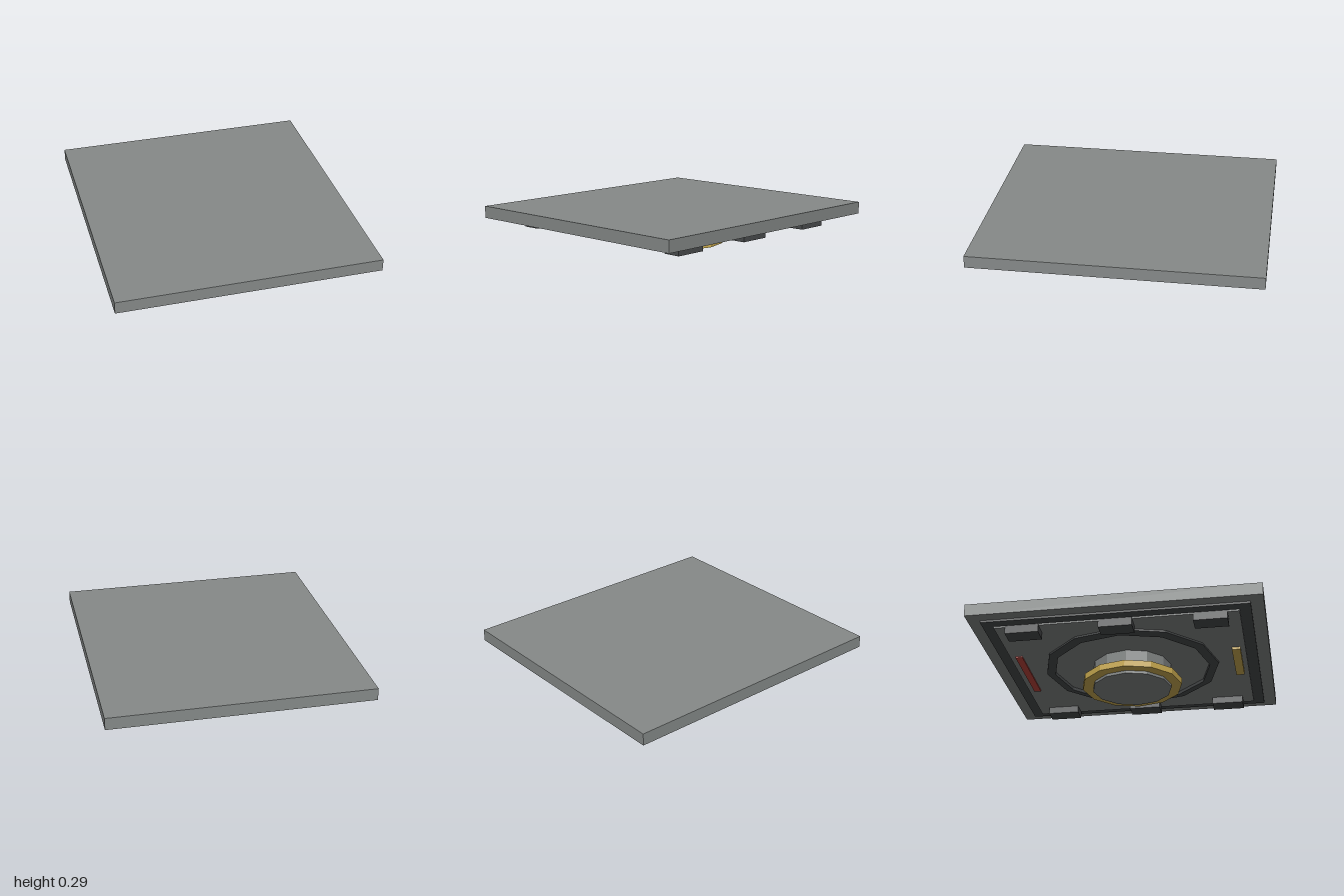
import * as THREE from 'three';

export function createModel() {
  const model = new THREE.Group();
  const paint = (name, color) => {
    const m = new THREE.MeshStandardMaterial({ color });
    m.name = name;
    m.flatShading = true;
    return m;
  };
  const gray = paint('plate gray', 0x868a89);
  const dark = paint('dark gray', 0x4a4d4e);
  const gold = paint('brass', 0xd2b254);
  const red = paint('red', 0xc5483f);

  const add = (name, geometry, material) => {
    const mesh = new THREE.Mesh(geometry, material);
    mesh.name = name;
    model.add(mesh);
    return mesh;
  };
  // Box given by its centre in plan, its bottom and its top
  const box = (name, material, w, d, y0, y1, x = 0, z = 0) =>
    add(name, new THREE.BoxGeometry(w, y1 - y0, d), material).position.set(x, (y0 + y1) / 2, z);
  // Twelve-sided ring from a closed [radius, height] section, running counter-clockwise
  const ring = (name, material, section) =>
    add(name, new THREE.LatheGeometry([...section, section[0]].map(p => new THREE.Vector2(...p)), 12), material);

  // Stacked plates
  box('topSlab', gray, 1.825, 2, 0.205, 0.29);
  box('gasketPlate', dark, 1.655, 1.825, 0.19, 0.206);
  box('bottomPanel', gray, 1.51, 1.67, 0.178, 0.191);

  // Raised ring around the hub
  ring('panelRing', dark, [[0.565, 0.155], [0.63, 0.165], [0.63, 0.18], [0.565, 0.18]]);

  // Central hub with its collar
  add('hub', new THREE.CylinderGeometry(0.285, 0.285, 0.18, 12), gray).position.y = 0.09;
  ring('hubCollar', gold, [[0.28, 0.02], [0.36, 0.02], [0.36, 0.066], [0.28, 0.066]]);

  // Mounting blocks along both sides
  for (const x of [-0.7, 0.7])
    for (const z of [-0.64, 0, 0.64])
      box('mountingBlock', dark, 0.125, 0.23, 0.128, 0.185, x, z);

  // Marker bars at the front and back
  box('frontBar', gold, 0.43, 0.06, 0.16, 0.18, 0, 0.77);
  box('backBar', red, 0.6, 0.05, 0.168, 0.184, 0, -0.77);

  return model;
}
